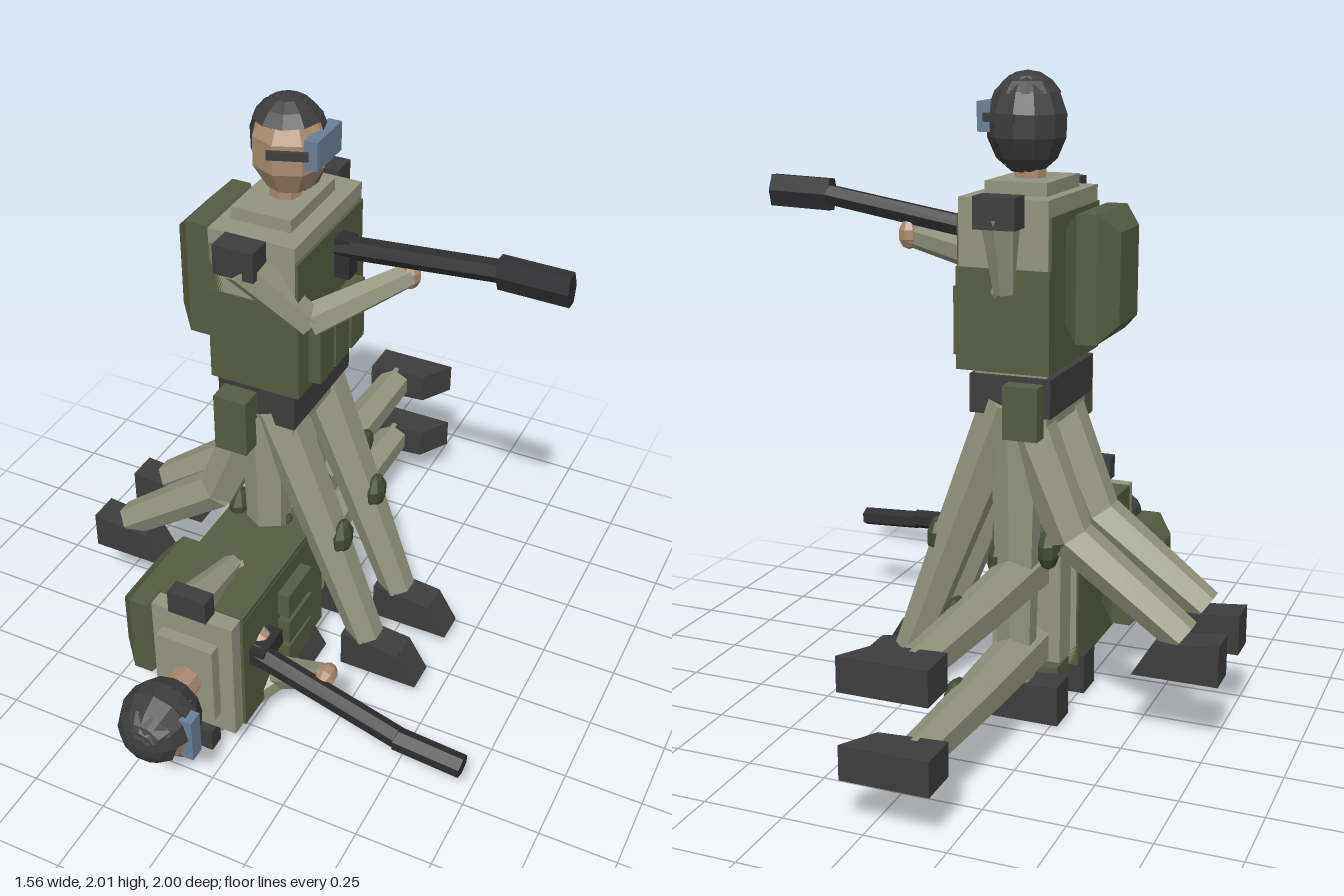
import * as THREE from 'three';

const mat = (color) => new THREE.MeshStandardMaterial({ color, flatShading: true, side: THREE.DoubleSide });
const cloth = mat(0x93957f), green = mat(0x565c42), dark = mat(0x3d3d3d);
const gunMetal = mat(0x2f2f31), skin = mat(0xa98c6e), lens = mat(0x6a7f96), pad = mat(0x434c36);
const V = (x, y, z) => new THREE.Vector3(x, y, z);
const MID = -0.015; // middle plane of the body across the shoulders

function add(parent, name, geometry, material) {
  const m = new THREE.Mesh(geometry, material);
  m.name = name;
  parent.add(m);
  return m;
}

// Box given by its extents on each axis
function box(parent, name, material, [x0, x1], [y0, y1], [z0, z1]) {
  const m = add(parent, name, new THREE.BoxGeometry(x1 - x0, y1 - y0, z1 - z0), material);
  m.position.set((x0 + x1) / 2, (y0 + y1) / 2, (z0 + z1) / 2);
  return m;
}

// Tapered six-sided bar from a to b
function bar(parent, name, material, a, b, ra, rb) {
  const d = b.clone().sub(a);
  const m = add(parent, name, new THREE.CylinderGeometry(rb, ra, d.length(), 6), material);
  m.position.copy(a).addScaledVector(d, 0.5);
  m.quaternion.setFromUnitVectors(V(0, 1, 0), d.normalize());
  return m;
}

function ball(parent, name, material, p, rx, ry, rz) {
  const m = add(parent, name, new THREE.SphereGeometry(1, 8, 5), material);
  m.position.copy(p);
  m.scale.set(rx, ry, rz);
  return m;
}

// Box with bevelled edges, its thin axis along x
function bevelBox(parent, name, material, [x0, x1], [y0, y1], [z0, z1], b) {
  const w = (z1 - z0) / 2 - b, h = (y1 - y0) / 2 - b, d = x1 - x0 - 2 * b;
  const s = new THREE.Shape([[-w, -h], [w, -h], [w, h], [-w, h]].map((p) => new THREE.Vector2(...p)));
  const g = new THREE.ExtrudeGeometry(s, { depth: d, bevelThickness: b, bevelSize: b, bevelSegments: 1 });
  g.translate(0, 0, -d / 2);
  g.rotateY(Math.PI / 2);
  const m = add(parent, name, g, material);
  m.position.set((x0 + x1) / 2, (y0 + y1) / 2, (z0 + z1) / 2);
}

// Pair of legs: hip, knee and ankle in the x-y plane, boot from its heel corner
function legs(parent, name, hip, knee, ankle, padAt, heel, bootLength = 0.27) {
  const pair = new THREE.Group();
  pair.name = name;
  parent.add(pair);
  for (const side of [-1, 1]) {
    const z = MID + side * 0.13;
    const P = (p) => V(p[0], p[1], z);
    bar(pair, 'thigh', cloth, P(hip), P(knee), 0.085, 0.07);
    bar(pair, 'shin', cloth, P(knee), P(ankle), 0.07, 0.058);
    ball(pair, 'kneePad', pad, P(padAt), 0.035, 0.065, 0.052);
    const L = bootLength;
    const s = new THREE.Shape([[0, 0], [L, 0], [L - 0.067, 0.11], [0, 0.13]].map((p) => new THREE.Vector2(...p)));
    const boot = add(pair, 'boot', new THREE.ExtrudeGeometry(s, { depth: 0.105, bevelEnabled: false }), dark);
    boot.position.set(heel[0], heel[1], z - 0.0525);
  }
}

// Head with helmet and goggles, between heights y0 and y1
function head(parent, y0, y1, goggles) {
  const g = new THREE.Group();
  g.name = 'head';
  parent.add(g);
  const h = (y1 - y0) / 2;
  g.position.set(-0.1, (y0 + y1) / 2, MID);
  ball(g, 'face', skin, V(0.005, -0.003, 0), 0.118, h * 0.96, 0.118);
  const crown = add(g, 'helmetCrown', new THREE.SphereGeometry(1, 10, 3, 0, Math.PI * 2, 0, 0.95), dark);
  const back = add(g, 'helmetBack', new THREE.SphereGeometry(1, 6, 6, -Math.PI / 2, Math.PI, 0, 2.75), dark);
  back.rotation.y = -Math.PI / 2;
  for (const m of [crown, back]) m.scale.set(0.127, h, 0.127);
  const gy = goggles.map((y) => y - g.position.y), mid = (gy[0] + gy[1]) / 2;
  box(g, 'goggles', lens, [0.09, 0.132], gy, [-0.078, 0.078]);
  for (const s of [-1, 1]) {
    const strap = box(g, 'gogglesStrap', dark, [-0.01, 0.11], [mid - 0.014, mid + 0.012], [-0.006, 0.006]);
    strap.position.z = s * 0.105;
    strap.rotation.y = s * 0.35;
  }
}

// Body from hips to helmet, arms and rifle, facing +x
function upperBody(name, o) {
  const g = new THREE.Group();
  g.name = name;
  const [vestBottom, sideTop] = o.vest;
  box(g, 'torso', cloth, [-0.25, 0.03], [vestBottom, 1.645], [-0.242, 0.205]);
  box(g, 'vest', green, [-0.257, 0.038], [vestBottom, sideTop], [-0.246, 0.209]);
  box(g, 'chestPlate', green, [0, 0.04], [vestBottom, 1.595], [-0.23, 0.205]);
  box(g, 'backPlate', green, [-0.257, -0.2], [vestBottom, 1.595], [-0.23, 0.205]);
  box(g, 'collar', cloth, [-0.215, -0.02], [1.64, 1.685], [-0.16, 0.13]);
  box(g, 'waist', cloth, [-0.23, 0.0], [0.95, vestBottom + 0.02], [-0.19, 0.165]);
  if (o.belt) box(g, 'belt', dark, [-0.247, 0.012], o.belt, [-0.205, 0.185]);
  for (const z of [0.095, -0.01, -0.122]) box(g, 'vestPouch', green, [0.03, 0.08], o.pouches, [z - 0.045, z + 0.045]);
  box(g, 'holster', green, [-0.225, -0.115], o.holster, [0.18, 0.26]);
  box(g, 'hipPouch', green, [-0.225, -0.115], [o.holster[0] + 0.03, o.holster[1]], [-0.26, -0.2]);
  bevelBox(g, 'backpack', green, [-0.425, -0.252], o.pack, [-0.16, 0.13], 0.055);

  // Neck and head
  const neck = add(g, 'neck', new THREE.CylinderGeometry(0.05, 0.05, 0.14, 8), skin);
  neck.position.set(-0.11, 1.71, MID);
  head(g, ...o.head, o.goggles);

  // Arms: the +z arm reaches forward, the -z arm folds to the grip
  for (const [z0, z1] of [[0.225, 0.305], [-0.33, -0.25]]) box(g, 'shoulderPad', dark, [-0.18, -0.05], o.shoulder, [z0, z1]);
  const elbow = V(0.05, 1.385, 0.16), hand = V(0.28, 1.495 + o.reach, -0.045);
  bar(g, 'upperArm', cloth, V(-0.115, 1.59, 0.26), elbow, 0.062, 0.05);
  bar(g, 'forearm', cloth, elbow, hand, 0.055, 0.038);
  ball(g, 'hand', skin, hand, 0.035, 0.048, 0.036);
  const elbow2 = V(-0.115, 1.37, -0.235);
  bar(g, 'upperArm', cloth, V(-0.115, 1.6, -0.275), elbow2, 0.06, 0.035);
  bar(g, 'forearm', cloth, elbow2, V(0.03, 1.48, -0.07), 0.04, 0.035);
  ball(g, 'hand', skin, V(0.04, 1.48, -0.07), 0.035, 0.04, 0.035);

  // Rifle
  const rifle = new THREE.Group();
  rifle.name = 'rifle';
  g.add(rifle);
  const tip = V(0.57, o.muzzle, -0.012);
  bar(rifle, 'barrel', gunMetal, V(-0.05, 1.51, -0.065), tip, 0.036, 0.034);
  box(rifle, 'magazine', gunMetal, [0.03, 0.09], [1.43, 1.56], [-0.09, -0.03]);
  const muzzle = bar(rifle, 'muzzle', gunMetal, V(0.565, o.muzzle, -0.008), V(0.78, o.muzzle + 0.005, 0.004), 0.05, 0.05);
  muzzle.scale.set(o.muzzleHeight / 0.1, 1, 0.65);
  return g;
}

export function createModel() {
  const model = new THREE.Group();
  model.name = 'soldierPoses';

  // Upright figure with three overlaid leg poses
  const upright = upperBody('uprightFigure', {
    vest: [1.13, 1.44], belt: [0.99, 1.11], pouches: [1.155, 1.365], holster: [0.9, 1.095],
    pack: [1.215, 1.6], head: [1.69, 2], goggles: [1.82, 1.91], shoulder: [1.565, 1.66],
    reach: 0, muzzle: 1.6, muzzleHeight: 0.115,
  });
  legs(upright, 'standingLegs', [-0.12, 1.0], [-0.12, 0.52], [-0.12, 0.1], [-0.06, 0.51], [-0.275, 0], 0.34);
  legs(upright, 'forwardLegs', [-0.09, 1.02], [0.09, 0.56], [0.24, 0.17], [0.145, 0.56], [0.17, 0.055]);
  legs(upright, 'backwardLegs', [-0.13, 1.02], [-0.3, 0.61], [-0.66, 0.34], [-0.225, 0.56], [-0.78, 0.215]);
  model.add(upright);

  // Lying figure, head towards +z
  const lying = upperBody('lyingFigure', {
    vest: [1.05, 1.59], belt: null, pouches: [1.205, 1.365], holster: [0.94, 1.07],
    pack: [1.25, 1.59], head: [1.735, 2], goggles: [1.855, 1.905], shoulder: [1.605, 1.66],
    reach: 0.015, muzzle: 1.615, muzzleHeight: 0.075,
  });
  legs(lying, 'straightLegs', [-0.12, 1.0], [-0.12, 0.52], [-0.11, 0.1], [-0.06, 0.515], [-0.2, 0]);
  lying.rotation.x = Math.PI / 2;
  lying.position.set(0, 0.31, -1);
  model.add(lying);
  return model;
}
